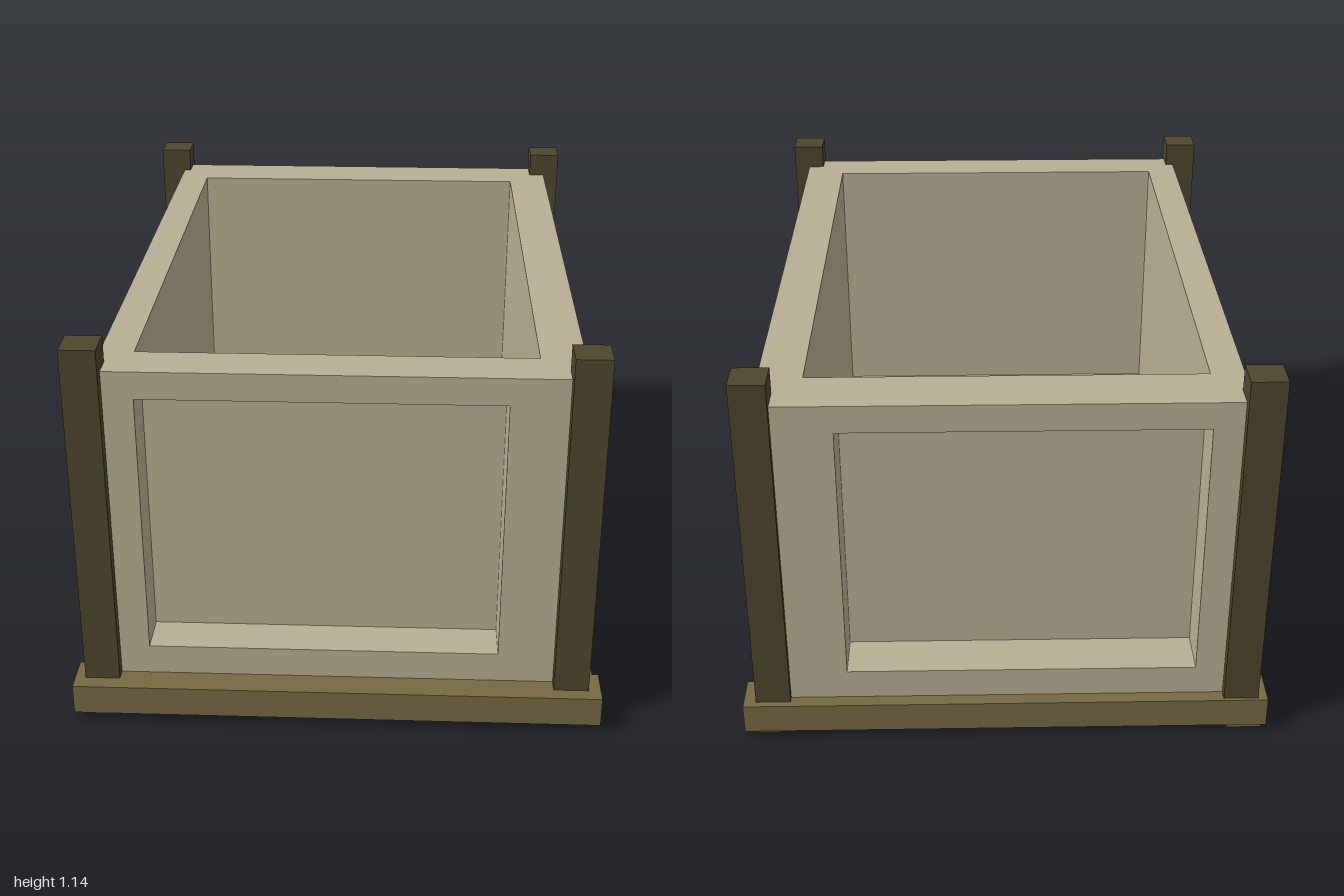
import * as THREE from 'three';
import { mergeGeometries } from 'three/addons/utils/BufferGeometryUtils.js';

const mat = (color) => new THREE.MeshStandardMaterial({ color });

const rectangle = (Type, [u0, v0, u1, v1]) =>
  new Type([[u0, v0], [u1, v0], [u1, v1], [u0, v1]].map(([u, v]) => new THREE.Vector2(u, v)));

// A flat panel facing +z, with rectangular pockets sunk into it
function panel(outline, pockets, depth, turn, distance) {
  const shape = rectangle(THREE.Shape, outline);
  const pieces = [];
  for (const p of pockets) {
    shape.holes.push(rectangle(THREE.Path, p));
    // Inside-out box without its front face
    const box = new THREE.BoxGeometry(p[2] - p[0], p[3] - p[1], depth).scale(1, 1, -1).toNonIndexed();
    const open = new THREE.BufferGeometry();
    open.setAttribute('position', new THREE.BufferAttribute(box.attributes.position.array.slice(0, 90), 3));
    pieces.push(open.translate((p[0] + p[2]) / 2, (p[1] + p[3]) / 2, -depth / 2));
  }
  const face = new THREE.ShapeGeometry(shape).toNonIndexed();
  face.deleteAttribute('uv');
  face.deleteAttribute('normal');
  const merged = mergeGeometries([face, ...pieces]);
  merged.translate(0, 0, distance);
  turn(merged);
  merged.computeVertexNormals();
  return merged;
}

export function createModel() {
  const model = new THREE.Group();
  const stone = mat(0xb8af93), railColor = mat(0x776a42), postColor = mat(0x4e462e);

  // Box from its limits
  const block = (name, material, x0, x1, y0, y1, z0, z1) => {
    const mesh = new THREE.Mesh(new THREE.BoxGeometry(x1 - x0, y1 - y0, z1 - z0), material);
    mesh.position.set((x0 + x1) / 2, (y0 + y1) / 2, (z0 + z1) / 2);
    mesh.name = name;
    model.add(mesh);
  };

  // Hollow body: four recessed walls, open top and underside
  const L = -0.65, R = 0.67, B = -0.96, F = 0.92, low = 0.01, top = 1.07;
  const walls = {
    frontWall: panel([L, low, R, top], [[-0.54, 0.205, 0.46, 0.99]], 0.125, (g) => g, F),
    backWall: panel([-R, low, -L, top], [[-0.455, 0.205, 0.545, 0.99]], 0.14, (g) => g.rotateY(Math.PI), -B),
    rightSideWall: panel([-F, low, -B, top],
      [[-0.62, 0.305, -0.115, 0.855], [0.1, 0.305, 0.605, 0.855]], 0.035, (g) => g.rotateY(Math.PI / 2), R),
    leftSideWall: panel([B, low, F, top],
      [[-0.62, 0.305, -0.08, 0.855], [0.16, 0.305, 0.695, 0.855]], 0.02, (g) => g.rotateY(-Math.PI / 2), -L),
    rimAndCavity: panel([L, -F, R, -B], [[-0.555, -0.785, 0.545, 0.795]], 0.82, (g) => g.rotateX(-Math.PI / 2), top),
    underside: panel([L, B, R, F], [], 0, (g) => g.rotateX(Math.PI / 2), -low),
  };
  for (const [name, geometry] of Object.entries(walls)) {
    const mesh = new THREE.Mesh(geometry, stone);
    mesh.name = name;
    model.add(mesh);
  }

  // Base rails
  block('frontRail', railColor, -0.755, 0.755, 0.025, 0.115, 0.88, 1);
  block('backRail', railColor, -0.755, 0.755, 0.025, 0.115, -1, -0.885);
  block('leftRail', railColor, -0.745, -0.645, 0, 0.11, -0.98, 0.97);
  block('rightRail', railColor, 0.64, 0.738, 0.005, 0.11, -0.98, 0.97);

  // Corner posts
  for (const [x, z] of [[-0.675, 0.905], [0.67, 0.91], [-0.678, -0.94], [0.67, -0.93]])
    block('cornerPost', postColor, x - 0.05, x + 0.05, 0.03, 1.145, z - 0.05, z + 0.05);

  return model;
}
